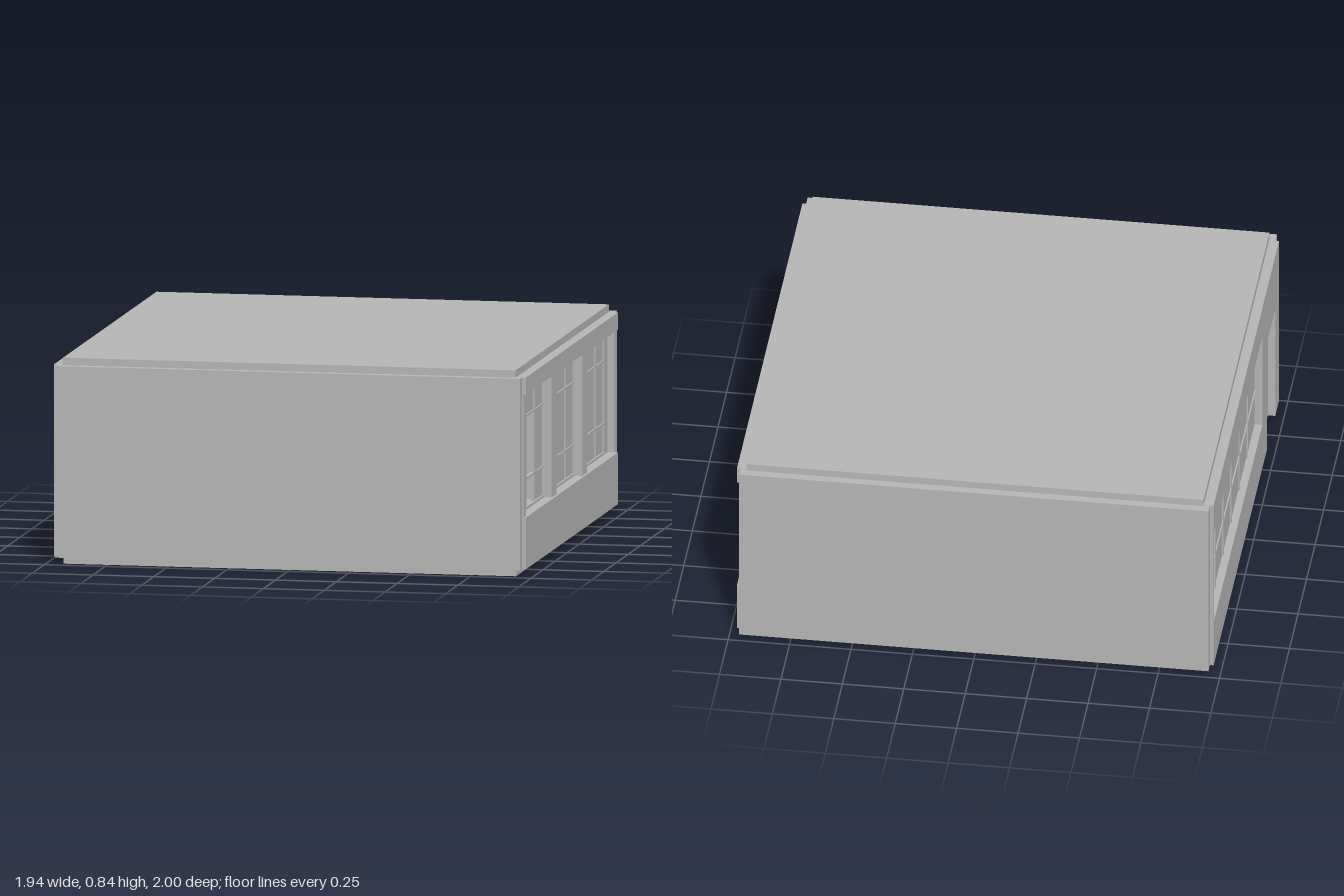
import * as THREE from 'three';

const grey = new THREE.MeshStandardMaterial({ color: 0xb4b4b4 });
grey.name = 'plain grey';

export function createModel() {
  const model = new THREE.Group();
  model.name = 'pavilion';

  // Box given by its minimum and maximum on each axis
  function box(name, x0, x1, y0, y1, z0, z1) {
    const mesh = new THREE.Mesh(new THREE.BoxGeometry(x1 - x0, y1 - y0, z1 - z0), grey);
    mesh.position.set((x0 + x1) / 2, (y0 + y1) / 2, (z0 + z1) / 2);
    mesh.name = name;
    model.add(mesh);
    return mesh;
  }

  // Floor and roof slabs
  box('floorSlab', -0.93, 0.93, 0, 0.03, -0.955, 0.955);
  box('floor', -0.93, 0.93, 0.03, 0.04, -0.955, 0.955);
  box('roofSlab', -0.93, 0.93, 0.78, 0.84, -0.965, 0.965);

  // Blank front and back walls
  box('frontWall', -0.955, 0.955, 0.03, 0.81, 0.955, 1);
  box('backWall', -0.955, 0.955, 0.03, 0.81, -1, -0.955);

  // Left side: solid bands below and above the windows
  box('leftSpandrel', 0.915, 0.97, 0.03, 0.24, -0.955, 0.955);
  box('leftLintel', 0.915, 0.97, 0.74, 0.81, -0.955, 0.955);

  // Posts between the windows
  for (const [z0, z1] of [[0.905, 0.955], [0.27, 0.37], [-0.355, -0.265]]) {
    box('windowPost', 0.9, 0.96, 0.24, 0.74, z0, z1);
  }
  box('endPost', 0.9, 0.925, 0.24, 0.74, -0.955, -0.885);

  // Three windows, each three panes wide and three high; one pane pair is open
  const rows = [0.24, 0.365, 0.62, 0.74];
  const bays = [[0.37, 0.905], [-0.265, 0.27], [-0.885, -0.355]];
  bays.forEach(([z0, z1], bay) => {
    const step = (z1 - z0) / 3;
    for (let c = 0; c < 3; c++) {
      for (let r = 0; r < 3; r++) {
        if (bay === 0 && c === 1 && r < 2) continue;
        box('leftPane', 0.914, 0.92, rows[r], rows[r + 1], z0 + c * step, z0 + (c + 1) * step);
      }
      if (c > 0) {
        box('leftMullion', 0.91, 0.926, 0.24, 0.74, z0 + c * step - 0.004, z0 + c * step + 0.004);
      }
    }
    for (const y of [0.365, 0.62]) {
      box('leftTransom', 0.91, 0.926, y - 0.004, y + 0.004, z0, z1);
    }
    box('leftSillFrame', 0.91, 0.928, 0.24, 0.25, z0, z1);
  });

  // Right side: wall around one long window
  const winZ0 = -0.945, winZ1 = 0.47, winY0 = 0.24, winY1 = 0.67;
  box('rightSpandrel', -0.97, -0.925, 0.03, winY0, -0.955, 0.48);
  box('rightLintel', -0.97, -0.925, winY1, 0.81, -0.955, 0.48);
  box('rightJamb', -0.97, -0.925, winY0, winY1, -0.955, winZ0);
  box('rightJamb', -0.97, -0.925, winY0, winY1, winZ1, 0.48);
  box('rightGlass', -0.938, -0.93, winY0, winY1, winZ0, winZ1);
  for (let i = 1; i < 6; i++) {
    const z = winZ0 + (winZ1 - winZ0) * i / 6;
    box('rightMullion', -0.944, -0.926, winY0, winY1, z - 0.004, z + 0.004);
  }
  box('rightTransom', -0.944, -0.926, 0.4, 0.408, winZ0, winZ1);

  // Right side: wall around the recessed door
  box('doorWall', -0.97, -0.925, 0.03, 0.81, 0.48, 0.6);
  box('doorWall', -0.97, -0.925, 0.03, 0.81, 0.845, 0.955);
  box('doorHead', -0.97, -0.925, 0.55, 0.81, 0.6, 0.845);
  box('door', -0.94, -0.925, 0.03, 0.55, 0.6, 0.845);

  return model;
}
